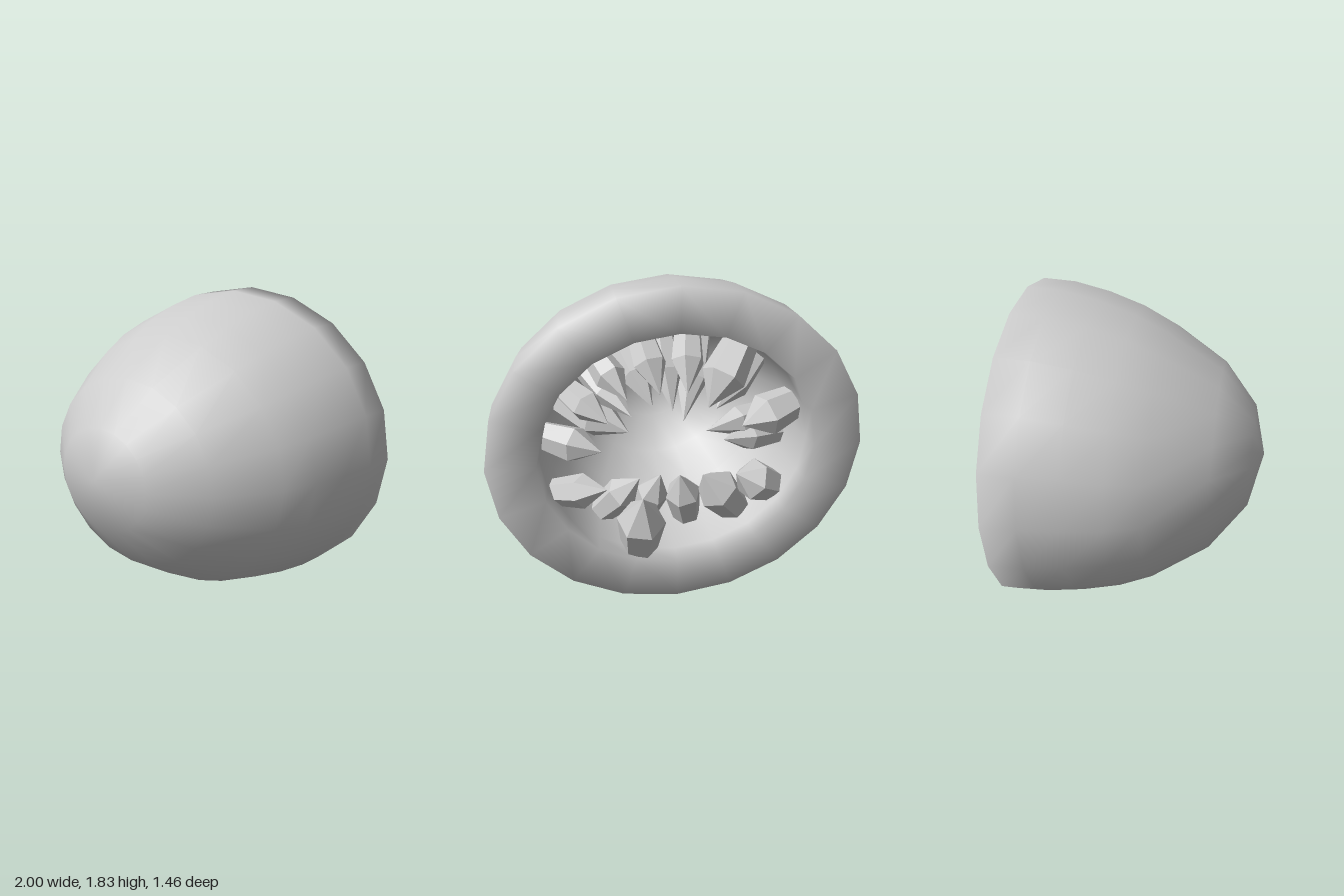
import * as THREE from 'three';
import { mergeVertices } from 'three/addons/utils/BufferGeometryUtils.js';

const CENTER_Y = 0.917;
const RIM_Z = -0.64;

export function createModel() {
  const model = new THREE.Group();
  model.name = 'geode';
  const stone = new THREE.MeshStandardMaterial({ color: 0xcccccc });
  stone.name = 'grey stone';

  // Half shell rings from cavity to rim to outside: radius, z, sag of the bulge
  const rings = [
    [0, 0.36, 0], [0.25, 0.3, 0], [0.45, 0.15, 0], [0.6, -0.07, 0], [0.69, -0.32, 0],
    [0.725, -0.54, 0], [0.74, RIM_Z, 0], [1, RIM_Z, 0], [0.99, -0.45, 0], [0.955, -0.24, 0.25],
    [0.9, -0.03, 0.65], [0.82, 0.15, 1], [0.6, 0.46, 1], [0.32, 0.66, 0.7], [0, 0.73, 0.25],
  ];
  let shellGeometry = new THREE.LatheGeometry(rings.map(([r, z]) => new THREE.Vector2(r, z)), 20);
  shellGeometry.rotateX(Math.PI / 2);
  shellGeometry.scale(1, CENTER_Y, 1);
  const points = shellGeometry.attributes.position;
  for (let i = 0; i < points.count; i++) {
    const sag = rings[i % rings.length][2];
    points.setY(i, points.getY(i) * (1 - 0.03 * sag) - 0.028 * sag);
  }
  shellGeometry.deleteAttribute('normal');
  shellGeometry.deleteAttribute('uv');
  shellGeometry = mergeVertices(shellGeometry);
  shellGeometry.computeVertexNormals();
  const shell = new THREE.Mesh(shellGeometry, stone);
  shell.name = 'shell';
  shell.position.y = CENTER_Y;
  model.add(shell);

  // Six-sided crystal with a narrower foot, wide shoulder and pointed tip
  const crystals = new THREE.Group();
  crystals.name = 'crystals';
  model.add(crystals);
  const up = new THREE.Vector3(0, 1, 0);
  function addCrystal(base, tip, radius, turn) {
    const direction = tip.clone().sub(base);
    const length = direction.length();
    const outline = [[0, 0], [0.75, 0], [1, 0.6], [0, 1]]
      .map(([r, h]) => new THREE.Vector2(r * radius, h * length));
    const geometry = new THREE.LatheGeometry(outline, 6).toNonIndexed();
    geometry.computeVertexNormals();
    geometry.rotateY(turn);
    const crystal = new THREE.Mesh(geometry, stone);
    crystal.name = 'crystal';
    crystal.position.copy(base);
    crystal.quaternion.setFromUnitVectors(up, direction.normalize());
    crystals.add(crystal);
  }

  // Crystals on the cavity wall: angle around z, z of the foot,
  // distance of the tip from the axis, z of the tip, radius
  const wall = [
    // left side and roof, leaning out to the opening
    [4, -0.35, 0.4, -0.58, 0.1], [16, -0.1, 0.25, -0.46, 0.12],
    [27, -0.2, 0.4, -0.54, 0.085], [40, -0.1, 0.3, -0.5, 0.085],
    [52, -0.25, 0.42, -0.56, 0.085], [64, -0.1, 0.26, -0.48, 0.085],
    [76, -0.25, 0.36, -0.56, 0.09], [88, -0.1, 0.2, -0.48, 0.085],
    [100, -0.22, 0.34, -0.54, 0.09], [112, -0.05, 0.14, -0.48, 0.09],
    [124, -0.35, 0.3, -0.56, 0.12],
    // right side
    [142, -0.2, 0.3, -0.46, 0.085], [166, -0.4, 0.38, -0.52, 0.12],
    [178, -0.2, 0.2, -0.4, 0.085], [190, -0.25, 0.3, -0.42, 0.085],
    // floor
    [214, -0.42, 0.42, -0.52, 0.12], [236, -0.36, 0.3, -0.48, 0.125],
    [260, -0.28, 0.28, -0.42, 0.105], [282, -0.24, 0.28, -0.4, 0.095],
    [305, -0.3, 0.32, -0.44, 0.1], [336, -0.44, 0.42, -0.66, 0.095],
  ];
  wall.forEach(([degrees, footZ, tipReach, tipZ, radius], i) => {
    const angle = THREE.MathUtils.degToRad(degrees);
    const footReach = 0.74 * Math.sqrt(1 - (footZ - RIM_Z) ** 2) + 0.02;
    const at = (r, z) => new THREE.Vector3(
      r * Math.cos(angle), CENTER_Y * (1 + r * Math.sin(angle)), z);
    addCrystal(at(footReach, footZ), at(tipReach, tipZ), radius, i * 1.7);
  });

  // Large crystal standing slightly out of the opening
  addCrystal(new THREE.Vector3(0.2, 0.24, -0.5), new THREE.Vector3(0.2, 0.7, -0.69), 0.135, 0.3);
  return model;
}
